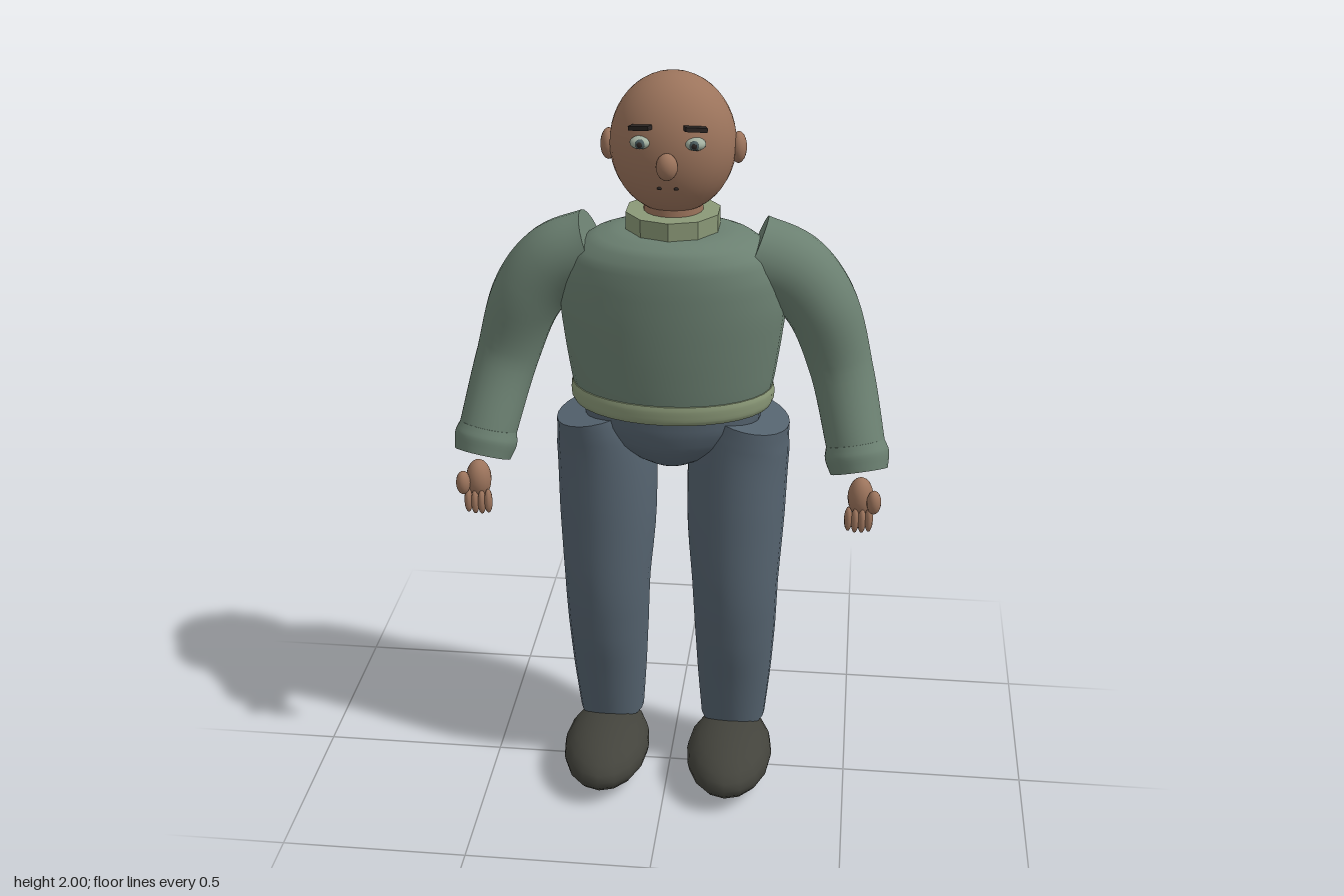
import * as THREE from 'three';

const mat = (name, color) => {
  const m = new THREE.MeshStandardMaterial({ color });
  m.name = name;
  return m;
};

// Capped tube through sections [x, y, z, rx, rz], rings square to the path
function loft(sections, steps = 24, sides = 24) {
  const path = new THREE.CatmullRomCurve3(sections.map(s => new THREE.Vector3(s[0], s[1], s[2])));
  const size = new THREE.CatmullRomCurve3(sections.map(s => new THREE.Vector3(s[3], s[4], 0)));
  const zAxis = new THREE.Vector3(0, 0, 1);
  const pos = [], index = [];
  for (let i = 0; i <= steps; i++) {
    const p = path.getPoint(i / steps), r = size.getPoint(i / steps);
    const t = path.getTangent(i / steps);
    const u = new THREE.Vector3().crossVectors(t, zAxis).normalize();
    const v = new THREE.Vector3().crossVectors(t, u);
    for (let j = 0; j < sides; j++) {
      const a = (j / sides) * Math.PI * 2;
      const q = p.clone().addScaledVector(u, Math.cos(a) * r.x).addScaledVector(v, Math.sin(a) * r.y);
      pos.push(q.x, q.y, q.z);
      if (i < steps) {
        const k = (j + 1) % sides, A = i * sides, B = A + sides;
        index.push(A + j, A + k, B + j, A + k, B + k, B + j);
      }
    }
  }
  // Caps have their own corners so the rims stay sharp
  for (const end of [0, 1]) {
    const from = end * steps * sides * 3, base = pos.length / 3;
    pos.push(...pos.slice(from, from + sides * 3));
    const c = path.getPoint(end);
    pos.push(c.x, c.y, c.z);
    for (let j = 0; j < sides; j++) {
      const k = (j + 1) % sides;
      index.push(base + sides, base + (end ? j : k), base + (end ? k : j));
    }
  }
  const g = new THREE.BufferGeometry();
  g.setAttribute('position', new THREE.Float32BufferAttribute(pos, 3));
  g.setIndex(index);
  g.computeVertexNormals();
  return g;
}

export function createModel() {
  const skin = mat('skin', 0x9c745c);
  const sweater = mat('sweaterGreen', 0x6b8071);
  const trim = mat('trimGreen', 0x8a9877);
  const denim = mat('trouserBlue', 0x55636f);
  const shoe = mat('shoeBlack', 0x43433c);
  const eyeWhite = mat('eyeGrey', 0xa3b0a0);
  const iris = mat('irisGrey', 0x4a5a5c);
  const dark = mat('browDark', 0x2a2422);

  const model = new THREE.Group();
  model.name = 'standingMan';
  const add = (name, geo, material, parent = model) => {
    const m = new THREE.Mesh(geo, material);
    m.name = name;
    parent.add(m);
    return m;
  };
  const ball = (name, p, r, material, parent = model, w = 16, h = 12) => {
    const m = add(name, new THREE.SphereGeometry(1, w, h), material, parent);
    m.position.set(...p);
    m.scale.set(...r);
    return m;
  };
  // Upright body part from [y, rx, rz] rows
  const upright = (rows, z, steps) => loft(rows.map(([y, rx, rz]) => [0, y, z, rx, rz]), steps, 32);

  // Head, neck and collar
  ball('head', [0, 1.82, -0.073], [0.16, 0.18, 0.143], skin, model, 32, 24);
  ball('nose', [0, 1.8, 0.077], [0.027, 0.034, 0.027], skin);
  const neck = add('neck', new THREE.CylinderGeometry(0.075, 0.08, 0.14, 20), skin);
  neck.position.set(0, 1.62, -0.08);
  const collarGeo = new THREE.CylinderGeometry(0.124, 0.124, 0.065, 10).toNonIndexed();
  collarGeo.computeVertexNormals();
  const collar = add('collar', collarGeo, trim);
  collar.position.set(0, 1.612, -0.077);

  // Torso, hem band and hips
  add('torso', upright([
    [1.13, 0.255, 0.175], [1.2, 0.27, 0.183], [1.3, 0.285, 0.19], [1.4, 0.295, 0.193],
    [1.48, 0.288, 0.192], [1.54, 0.262, 0.186], [1.58, 0.21, 0.165], [1.597, 0.15, 0.125], [1.6, 0.08, 0.07],
  ], -0.066, 32), sweater);
  add('hemBand', upright([[1.122, 0.262, 0.18], [1.135, 0.269, 0.186], [1.16, 0.271, 0.187], [1.175, 0.267, 0.184]], -0.065, 9), trim);
  add('hips', upright([
    [1.13, 0.24, 0.165], [1.08, 0.235, 0.162], [1.03, 0.2, 0.15],
    [0.98, 0.12, 0.115], [0.945, 0.05, 0.06], [0.938, 0.01, 0.01],
  ], -0.07, 20), denim);

  for (const s of [1, -1]) {
    const side = new THREE.Group();
    side.name = s > 0 ? 'leftSide' : 'rightSide';
    model.add(side);

    // Face details
    ball('ear', [s * 0.164, 1.81, -0.08], [0.021, 0.04, 0.031], skin, side);
    ball('eye', [s * 0.068, 1.853, 0.052], [0.026, 0.016, 0.024], eyeWhite, side);
    ball('iris', [s * 0.067, 1.853, 0.069], [0.013, 0.012, 0.01], iris, side);
    ball('pupil', [s * 0.067, 1.853, 0.076], [0.007, 0.007, 0.005], dark, side);
    const brow = add('eyebrow', new THREE.BoxGeometry(0.056, 0.011, 0.02), dark, side);
    brow.position.set(s * 0.068, 1.89, 0.053);
    brow.rotation.set(0, s * 0.4, s * -0.12);
    ball('mouthCorner', [s * 0.021, 1.738, 0.054], [0.006, 0.004, 0.004], dark, side, 8, 6);

    // Trouser leg and shoe
    add('trouserLeg', loft([
      [s * 0.2, 1.083, -0.08, 0.116, 0.153], [s * 0.182, 1.0, -0.075, 0.134, 0.15],
      [s * 0.175, 0.8, -0.05, 0.133, 0.136], [s * 0.177, 0.6, -0.029, 0.119, 0.121],
      [s * 0.178, 0.45, -0.045, 0.113, 0.124], [s * 0.177, 0.3, -0.058, 0.104, 0.108],
      [s * 0.175, 0.143, -0.072, 0.091, 0.093],
    ]), denim, side);
    ball('shoe', [s * 0.175, 0.084, 0.055], [0.12, 0.08, 0.202], shoe, side, 16, 12);

    // Sleeve with a flared cuff
    add('sleeve', loft([
      [s * 0.205, 1.527, -0.085, 0.106, 0.106], [s * 0.305, 1.488, -0.085, 0.104, 0.102],
      [s * 0.382, 1.4, -0.083, 0.096, 0.097], [s * 0.445, 1.22, -0.073, 0.083, 0.08],
      [s * 0.495, 1.02, 0.008, 0.077, 0.077],
    ], 28), sweater, side);
    add('cuff', loft([
      [s * 0.489, 1.045, 0.0, 0.077, 0.077], [s * 0.495, 1.015, 0.01, 0.085, 0.083],
      [s * 0.503, 0.975, 0.027, 0.076, 0.074],
    ], 8), sweater, side);

    // Hand
    const hand = new THREE.Group();
    hand.name = 'hand';
    side.add(hand);
    ball('palm', [s * 0.51, 0.915, 0.058], [0.034, 0.055, 0.038], skin, hand);
    ball('thumb', [s * 0.545, 0.918, 0.093], [0.019, 0.033, 0.022], skin, hand);
    for (let i = 0; i < 4; i++) {
      ball('finger', [s * (0.48 + i * 0.018), 0.864 - (i % 3 ? 0.004 : 0), 0.088], [0.011, 0.035, 0.017], skin, hand, 10, 8);
    }
  }
  return model;
}
